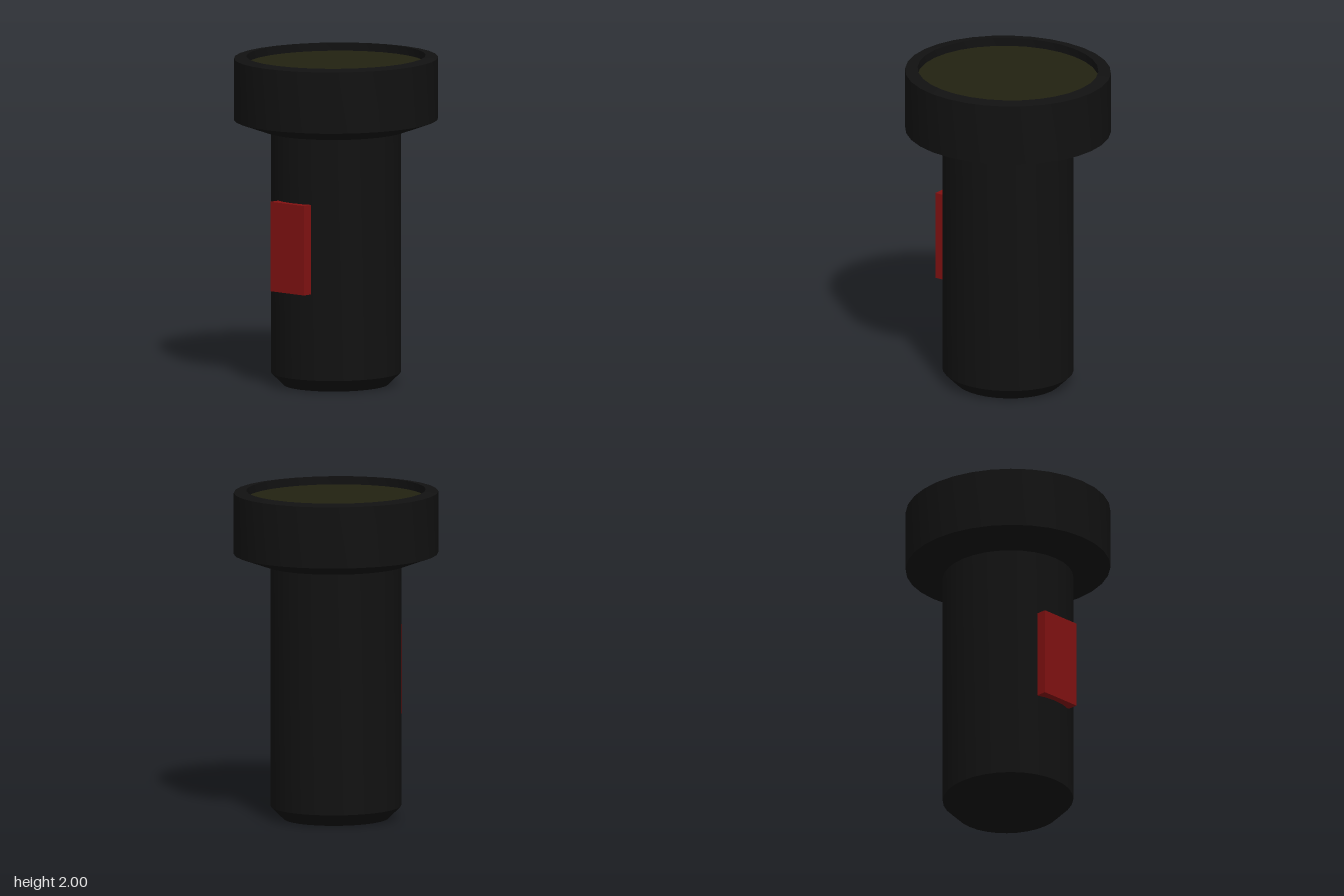
import * as THREE from 'three';
import { toCreasedNormals } from 'three/addons/utils/BufferGeometryUtils.js';

const SIDES = 32;
const X_SCALE = 0.96; // the round parts are slightly narrower across x

const material = (color) => new THREE.MeshStandardMaterial({ color });

// Turned part from [radius, y] pairs, ordered from the bottom outward and up
function turned(name, profile, mat) {
  const points = profile.map(([r, y]) => new THREE.Vector2(r, y));
  const geometry = new THREE.LatheGeometry(points, SIDES).scale(X_SCALE, 1, 1);
  const mesh = new THREE.Mesh(toCreasedNormals(geometry, 0.22), mat);
  mesh.name = name;
  return mesh;
}

export function createModel() {
  const group = new THREE.Group();
  group.name = 'flashlight';
  const black = material(0x111111);

  // Handle with a chamfered end
  group.add(turned('handle', [[0, 0], [0.325, 0], [0.402, 0.075], [0.402, 1.58]], black));

  // Head: sloped underside, straight wall, slightly raised inner rim and recess
  group.add(turned('head', [
    [0.38, 1.55], [0.445, 1.55], [0.63, 1.615], [0.63, 1.988],
    [0.553, 2], [0.553, 1.94],
  ], black));

  // Lens sunk below the rim
  const lens = new THREE.Mesh(new THREE.CircleGeometry(0.556, SIDES), material(0x222211));
  lens.name = 'lens';
  lens.rotation.x = -Math.PI / 2;
  lens.scale.x = X_SCALE;
  lens.position.y = 1.95;
  group.add(lens);

  // Switch on the front of the handle
  const button = new THREE.Mesh(new THREE.BoxGeometry(0.27, 0.545, 0.065), material(0x801111));
  button.name = 'switch';
  button.position.set(0.003, 0.873, 0.412);
  group.add(button);

  return group;
}
